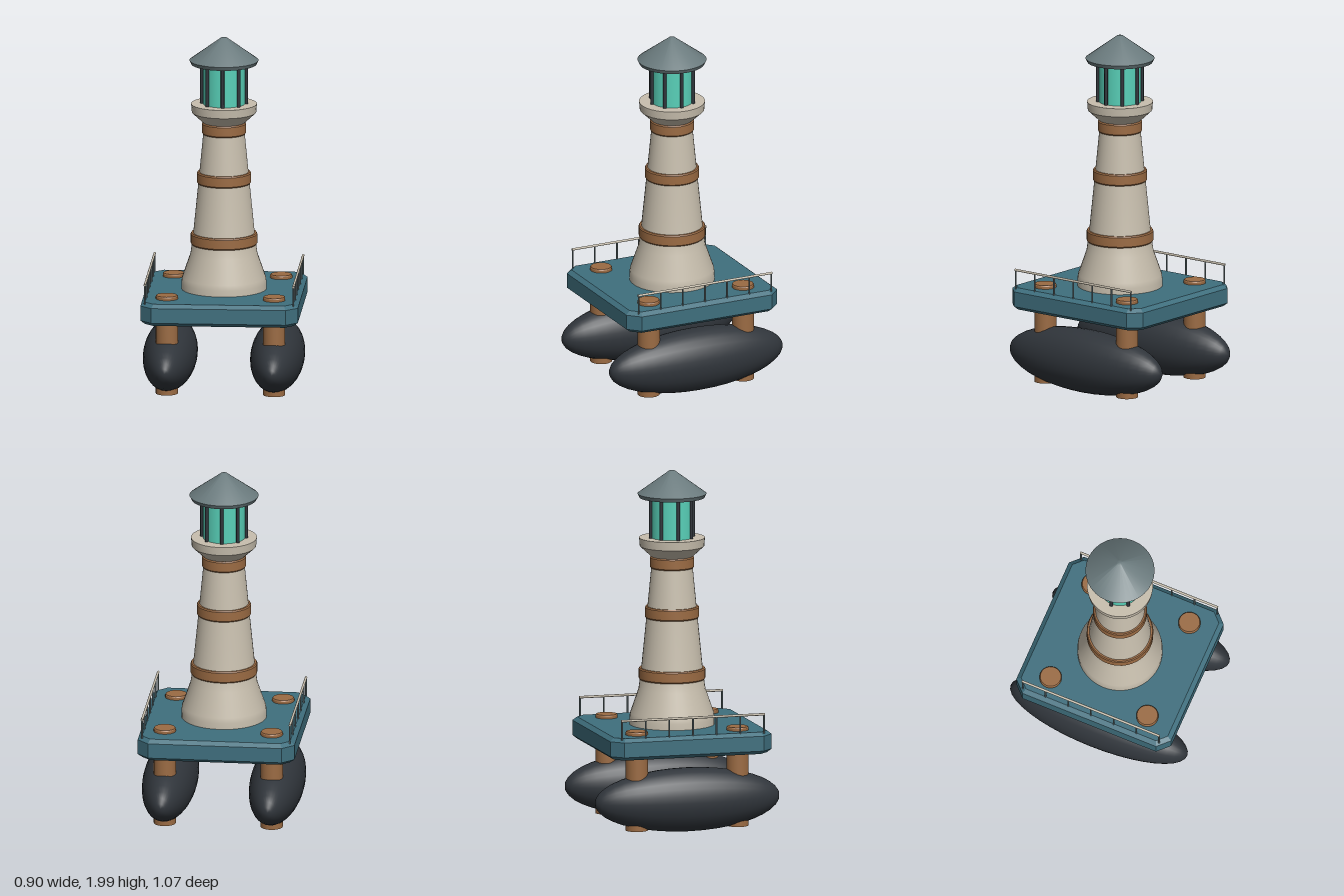
import * as THREE from 'three';
import { toCreasedNormals } from 'three/addons/utils/BufferGeometryUtils.js';

const material = (name, color) => {
  const m = new THREE.MeshStandardMaterial({ color });
  m.name = name;
  return m;
};

export function createModel() {
  const stone = material('pale stone', 0xc8bfae);
  const wood = material('brown wood', 0x9b6b43);
  const deckBlue = material('teal deck', 0x3f6f7e);
  const rubber = material('dark rubber', 0x30353b);
  const slate = material('grey slate', 0x6a7a7d);
  const glass = material('green glass', 0x58d0b8);

  const model = new THREE.Group();
  model.name = 'floatingLighthouse';

  const add = (name, geometry, mat, x = 0, y = 0, z = 0, parent = model) => {
    const mesh = new THREE.Mesh(geometry, mat);
    mesh.name = name;
    mesh.position.set(x, y, z);
    parent.add(mesh);
    return mesh;
  };
  // Profile of [radius, height] pairs, listed from bottom to top
  const turned = (profile, segments = 32) => toCreasedNormals(
    new THREE.LatheGeometry(profile.map(([r, y]) => new THREE.Vector2(r, y)), segments), 0.5);

  // Pontoons
  const floatShape = new THREE.SphereGeometry(1, 28, 20);
  floatShape.rotateX(Math.PI / 2);
  floatShape.scale(0.15, 0.18, 0.535);
  for (const side of [-1, 1]) add('pontoon', floatShape, rubber, side * 0.3, 0.186, 0);

  // Posts running from the pontoons up through the deck
  const post = turned([[0, 0.025], [0.062, 0.025], [0.062, 0.58], [0.058, 0.586], [0, 0.586]], 24);
  for (const x of [-0.3, 0.3]) {
    for (const z of [-0.293, 0.293]) add('post', post, wood, x, 0, z);
  }

  // Deck with clipped corners and bevelled edges
  const bevel = 0.025, w = 0.44 - bevel, d = 0.469 - bevel, c = 0.05;
  const outline = new THREE.Shape([
    [w, -d + c], [w, d - c], [w - c, d], [-w + c, d],
    [-w, d - c], [-w, -d + c], [-w + c, -d], [w - c, -d],
  ].map(([x, y]) => new THREE.Vector2(x, y)));
  const deck = new THREE.ExtrudeGeometry(outline, {
    depth: 0.084, bevelEnabled: true, bevelSize: bevel, bevelThickness: 0.02, bevelSegments: 1,
  });
  deck.rotateX(-Math.PI / 2);
  add('deck', deck, deckBlue, 0, 0.462, 0);

  // Railings along both sides
  const stanchion = new THREE.CylinderGeometry(0.005, 0.005, 0.11, 8);
  const railBar = new THREE.CylinderGeometry(0.007, 0.007, 0.834, 8);
  railBar.rotateX(Math.PI / 2);
  for (const side of [-1, 1]) {
    const railing = new THREE.Group();
    railing.name = side > 0 ? 'leftRailing' : 'rightRailing';
    model.add(railing);
    add('handrail', railBar, stone, side * 0.415, 0.666, 0, railing);
    for (let i = -3; i <= 3; i++) {
      add('stanchion', stanchion, slate, side * 0.415, 0.612, i * 0.1375, railing);
    }
  }

  // Tower with a flared foot
  add('tower', turned([
    [0, 0.55], [0.238, 0.55], [0.238, 0.6], [0.234, 0.63], [0.187, 0.765],
    [0.175, 0.85], [0.14, 1.2], [0.111, 1.5], [0, 1.5],
  ], 40), stone);

  // Wooden hoops around the tower
  for (const [y, r] of [[0.852, 0.186], [1.199, 0.151], [1.481, 0.123]]) {
    add('hoop', turned([
      [r - 0.05, -0.033], [r - 0.005, -0.033], [r, -0.026],
      [r, 0.026], [r - 0.005, 0.033], [r - 0.05, 0.033],
    ], 40), wood, 0, y, 0);
  }

  // Gallery under the lantern
  add('gallery', turned([
    [0, 1.505], [0.113, 1.51], [0.18, 1.572], [0.184, 1.62], [0, 1.62],
  ], 40), stone);

  // Lantern room
  add('lanternGlass', new THREE.CylinderGeometry(0.118, 0.118, 0.235, 32), glass, 0, 1.735, 0);
  const bar = new THREE.CylinderGeometry(0.01, 0.01, 0.235, 8);
  for (let i = 0; i < 8; i++) {
    const a = i * Math.PI / 4;
    add('lanternBar', bar, rubber, 0.124 * Math.sin(a), 1.735, 0.124 * Math.cos(a));
  }

  // Roof with a thin eave
  add('roof', turned([
    [0, 1.846], [0.182, 1.846], [0.193, 1.868], [0.016, 1.997], [0, 2],
  ]), slate);

  return model;
}
